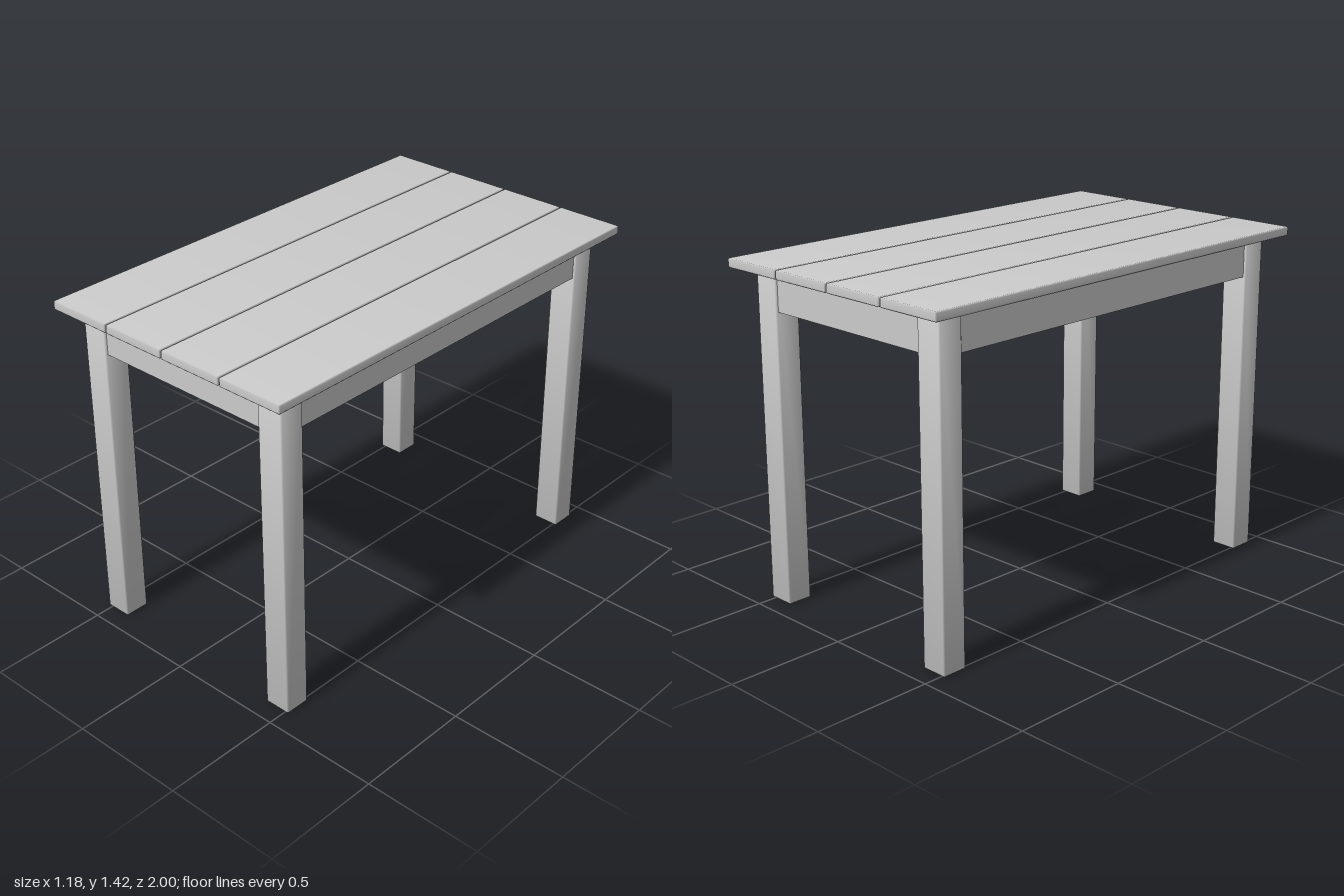
import * as THREE from 'three';
import { ConvexGeometry } from 'three/addons/geometries/ConvexGeometry.js';

const material = new THREE.MeshStandardMaterial({ color: 0xcccccc });

// Box with one-segment chamfers; normals lean outward by `soft` for smooth shading.
function chamferBox(w, h, d, bevel, soft) {
  const half = [w / 2, h / 2, d / 2];
  const points = [];
  for (const sx of [-1, 1]) for (const sy of [-1, 1]) for (const sz of [-1, 1]) {
    for (let face = 0; face < 3; face++) {
      const p = [sx, sy, sz].map((s, i) => s * (half[i] - (i === face ? 0 : bevel)));
      points.push(new THREE.Vector3(...p));
    }
  }
  const geometry = new ConvexGeometry(points);
  const { position, normal } = geometry.attributes;
  const n = new THREE.Vector3();
  for (let i = 0; i < position.count; i++) {
    const p = [position.getX(i), position.getY(i), position.getZ(i)];
    n.set(...p.map((v, a) => Math.sign(v) * (Math.abs(v) > half[a] - bevel / 2 ? 1 : soft))).normalize();
    normal.setXYZ(i, n.x, n.y, n.z);
  }
  return geometry;
}

export function createModel() {
  const table = new THREE.Group();
  table.name = 'table';
  const add = (name, geometry, x, y, z) => {
    const mesh = new THREE.Mesh(geometry, material);
    mesh.name = name;
    mesh.position.set(x, y, z);
    table.add(mesh);
  };

  // Tabletop planks, separated by narrow gaps
  const pitch = 0.296;
  const plank = chamferBox(0.292, 0.038, 2, 0.005, 0.08);
  for (let i = 0; i < 4; i++) add(`plank${i + 1}`, plank, (i - 1.5) * pitch, 1.401, 0);

  // Four square legs
  const legW = 0.116, legD = 0.11, legX = 0.46, legZ = 0.865, legH = 1.382;
  const leg = chamferBox(legW, legH, legD, 0.006, 0.25);
  for (const sx of [-1, 1]) for (const sz of [-1, 1]) {
    add(`${sz > 0 ? 'front' : 'back'}${sx > 0 ? 'Left' : 'Right'}Leg`, leg, sx * legX, legH / 2, sz * legZ);
  }

  // Apron rails between the legs, set just inside their outer faces
  const railH = 0.16, railT = 0.04, inset = 0.01, railY = legH - railH / 2;
  const endRail = new THREE.BoxGeometry(2 * legX - legW + 0.01, railH, railT);
  const sideRail = new THREE.BoxGeometry(railT, railH, 2 * legZ - legD + 0.01);
  for (const s of [-1, 1]) {
    add(s > 0 ? 'frontApron' : 'backApron', endRail, 0, railY, s * (legZ + legD / 2 - inset - railT / 2));
    add(s > 0 ? 'leftApron' : 'rightApron', sideRail, s * (legX + legW / 2 - inset - railT / 2), railY, 0);
  }
  return table;
}
